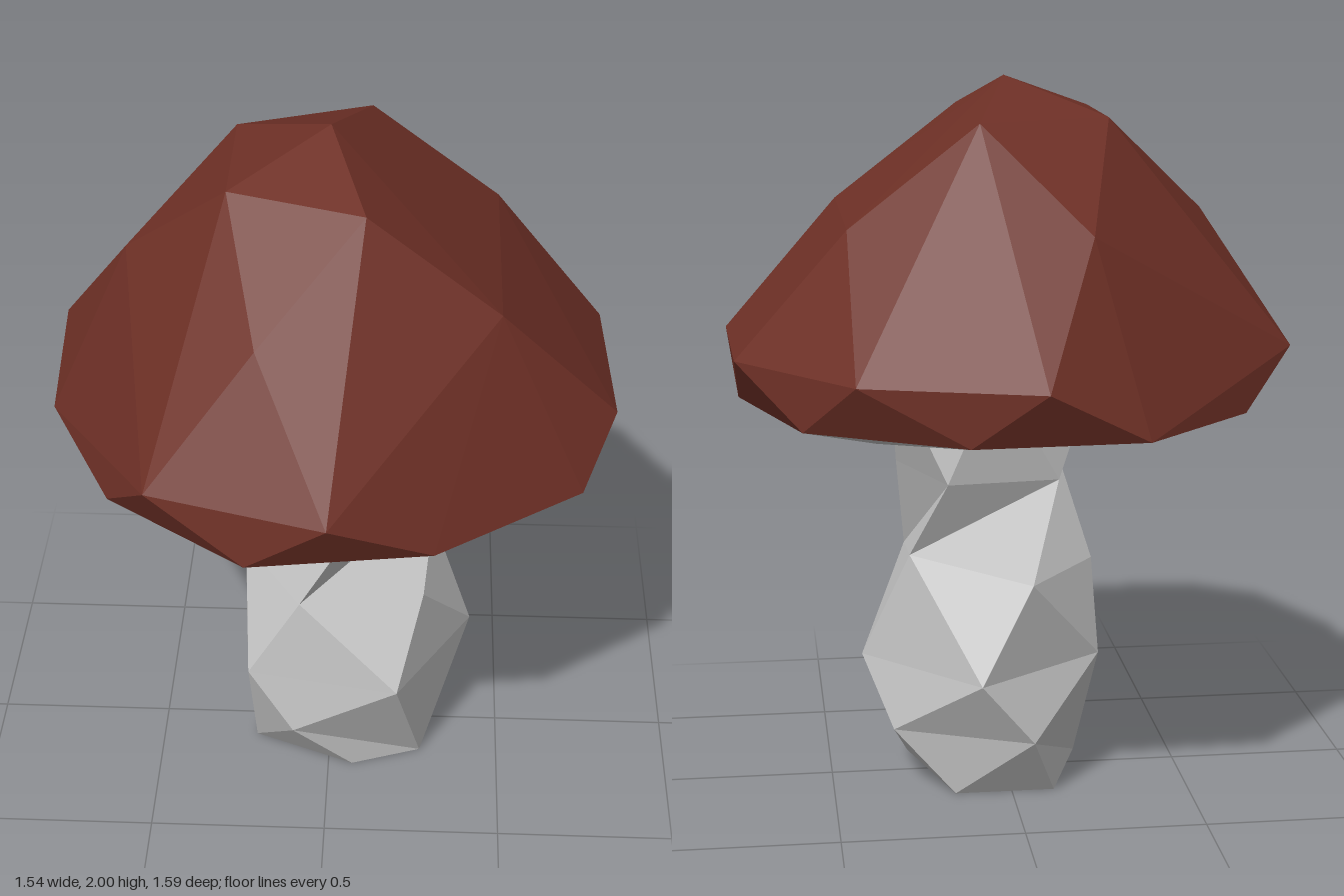
import * as THREE from 'three';
import { ConvexGeometry } from 'three/addons/geometries/ConvexGeometry.js';

// Points at one height, from [x, z] pairs; a third number overrides the height.
const ring = (y, pts) => pts.map(([x, z, h = y]) => new THREE.Vector3(x, h, z));

// Faceted geometry from a list of corner points.
function facets(points) {
  const g = new THREE.BufferGeometry().setFromPoints(points);
  g.computeVertexNormals();
  return g;
}

// Twisted triangle bands between successive rings of equal count.
function loft(rings) {
  const out = [];
  for (let r = 0; r < rings.length - 1; r++) {
    const a = rings[r], b = rings[r + 1], n = a.length;
    for (let i = 0; i < n; i++) {
      const j = (i + 1) % n;
      out.push(a[i], a[j], b[j], a[i], b[j], b[i]);
    }
  }
  return facets(out);
}

// Convex shell with the flat cover at height y (all corners on it) left open.
function openHull(points, ...openHeights) {
  const p = new ConvexGeometry(points).getAttribute('position');
  const out = [];
  for (let i = 0; i < p.count; i += 3) {
    const tri = [0, 1, 2].map((k) => new THREE.Vector3().fromBufferAttribute(p, i + k));
    const isCover = openHeights.some((y) => tri.every((v) => Math.abs(v.y - y) < 0.001));
    if (!isCover) out.push(...tri);
  }
  return facets(out);
}

export function createModel() {
  const model = new THREE.Group();
  const red = new THREE.MeshStandardMaterial({ color: 0x6e3026, flatShading: true });
  red.name = 'brownRed';
  const grey = new THREE.MeshStandardMaterial({ color: 0xc6c6c6, flatShading: true });
  grey.name = 'paleGrey';
  const add = (name, geometry, material) => {
    const mesh = new THREE.Mesh(geometry, material);
    mesh.name = name;
    model.add(mesh);
  };

  // Cap: apex, two crown rings, widest ring and lower rim
  const rim = ring(1.135, [
    [-0.77, 0.04], [-0.57, 0.47], [-0.19, 0.75], [0.29, 0.68], [0.68, 0.39],
    [0.74, -0.06], [0.58, -0.51], [0.17, -0.74], [-0.29, -0.72], [-0.6, -0.42],
  ]);
  add('cap', openHull([
    new THREE.Vector3(0, 2, 0),
    ...ring(1.9, [[-0.26, 0.19], [0.1, 0.31], [0.1, -0.32], [-0.26, -0.19]]),
    ...ring(1.63, [[-0.55, 0], [-0.17, 0.52], [0.45, 0.32], [0.45, -0.33], [-0.17, -0.53]]),
    ...ring(1.28, [[0.02, 0.79], [0.77, 0.22], [0.75, -0.28], [0.45, -0.66],
      [-0.02, -0.8], [-0.76, -0.24], [-0.45, 0.65]]),
    ...rim,
  ], 1.135), red);

  // Underside: shallow slope, then a hollow around the stem
  const lip = ring(1.06, [[-0.35, 0.03], [-0.1, 0.45], [0.51, 0.3], [0.38, -0.34], [-0.17, -0.42]]);
  add('capUnderside', openHull([...rim, ...lip], 1.135, 1.06), grey);
  const hollow = ring(1.22, [[-0.16, -0.06], [-0.12, 0.14], [0.12, 0.15], [0.2, -0.02], [0.04, -0.18]]);
  add('capHollow', loft([hollow, lip]), grey);

  // Stem: five-sided twisted rings with a bulge low down
  const base = ring(0, [[-0.22, 0.1], [0.07, 0.22], [0.27, 0.15], [0.16, -0.2], [-0.12, -0.2]]);
  add('stem', loft([
    base,
    ring(0.185, [[-0.22, 0.1, 0], [-0.1, 0.29], [0.27, 0.15, 0], [0.33, -0.16], [-0.05, -0.32]]),
    ring(0.37, [[-0.26, -0.1], [-0.23, 0.25], [0.2, 0.33], [0.41, -0.03], [0.1, -0.36]]),
    ring(0.63, [[-0.05, -0.28], [-0.25, -0.02], [-0.08, 0.26], [0.27, 0.2], [0.28, -0.14, 0.69]]),
    ring(0.91, [[-0.13, -0.2], [-0.17, 0.12], [0.08, 0.26], [0.3, 0.07], [0.18, -0.23]]),
    ring(1.23, [[0.05, -0.28], [-0.27, -0.05], [-0.22, 0.24], [0.28, 0.22], [0.33, -0.12]]),
  ]), grey);

  // Flat foot of the stem
  const foot = [];
  for (let i = 1; i < 4; i++) foot.push(base[0], base[i + 1], base[i]);
  add('stemFoot', facets(foot), grey);

  return model;
}
